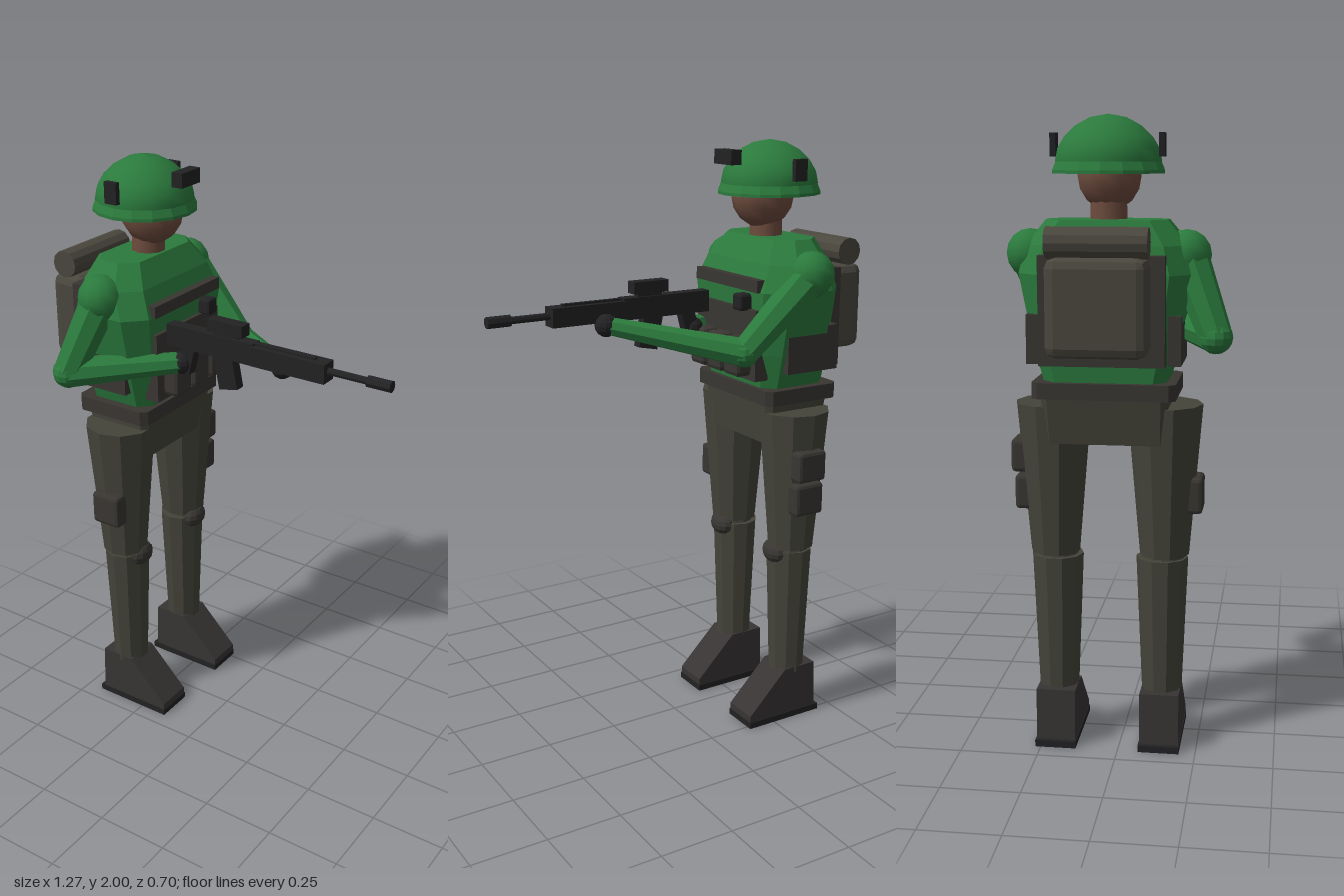
import * as THREE from 'three';
import { RoundedBoxGeometry } from 'three/addons/geometries/RoundedBoxGeometry.js';

const V = (x, y, z) => new THREE.Vector3(x, y, z);
const mat = (color, flatShading = true) => new THREE.MeshStandardMaterial({ color, flatShading });
const M = {
  green: mat(0x2b7a3d), greenSmooth: mat(0x2b7a3d, false), skin: mat(0x6e4c3e, false),
  trousers: mat(0x44443a), pack: mat(0x4a473e), vest: mat(0x393632),
  boot: mat(0x383434), dark: mat(0x222224),
};

function add(parent, name, geometry, material, x = 0, y = 0, z = 0) {
  const mesh = new THREE.Mesh(geometry, material);
  mesh.name = name;
  mesh.position.set(x, y, z);
  parent.add(mesh);
  return mesh;
}

// Box given by its limits on each axis; r > 0 rounds the edges
function box(parent, name, material, [x0, x1], [y0, y1], [z0, z1], r = 0) {
  const s = [x1 - x0, y1 - y0, z1 - z0];
  const g = r ? new RoundedBoxGeometry(...s, 1, r) : new THREE.BoxGeometry(...s);
  return add(parent, name, g, material, (x0 + x1) / 2, (y0 + y1) / 2, (z0 + z1) / 2);
}

// Tapered limb between two points
function limb(parent, name, material, a, b, ra, rb, sides = 8) {
  const d = b.clone().sub(a);
  const mesh = add(parent, name, new THREE.CylinderGeometry(rb, ra, d.length(), sides), material);
  mesh.position.copy(a).add(b).multiplyScalar(0.5);
  mesh.quaternion.setFromUnitVectors(V(0, 1, 0), d.normalize());
  return mesh;
}

const ball = (parent, name, material, p, r) =>
  add(parent, name, new THREE.SphereGeometry(r, 12, 8), material, p.x, p.y, p.z);

// Stack of chamfered rectangles: rows of [y, back x, front x, half width, chamfer]
function loft(rows) {
  const rings = rows.map(([y, a, b, w, c]) => [
    [a, w - c], [a + c, w], [b - c, w], [b, w - c], [b, c - w], [b - c, -w], [a + c, -w], [a, c - w],
  ].map(([x, z]) => V(x, y, z)));
  const pts = [];
  for (let i = 0; i < rings.length - 1; i++) {
    for (let j = 0; j < 8; j++) {
      const k = (j + 1) % 8, lo = rings[i], hi = rings[i + 1];
      pts.push(lo[j], lo[k], hi[k], lo[j], hi[k], hi[j]);
    }
  }
  const bottom = rings[0], top = rings[rings.length - 1];
  for (let j = 1; j < 7; j++) {
    pts.push(bottom[0], bottom[j + 1], bottom[j], top[0], top[j], top[j + 1]);
  }
  const g = new THREE.BufferGeometry().setFromPoints(pts);
  g.computeVertexNormals();
  return g;
}

function addHead(g) {
  const head = ball(g, 'head', M.skin, V(-0.32, 1.82, 0), 0.107);
  head.scale.z = 0.92;
  add(g, 'neck', new THREE.CylinderGeometry(0.055, 0.058, 0.14, 10), M.skin, -0.335, 1.71, 0);
  const dome = [[0.155, 1.85], [0.163, 1.862], [0.155, 1.9], [0.135, 1.933], [0.1, 1.966], [0.055, 1.99], [0, 2]];
  add(g, 'helmet', new THREE.LatheGeometry(dome.map(p => new THREE.Vector2(...p)), 16), M.greenSmooth, -0.345);
  const brim = [[0, 1.835], [0.155, 1.825], [0.172, 1.825], [0.172, 1.835], [0.16, 1.864]];
  add(g, 'helmetBrim', new THREE.LatheGeometry(brim.map(p => new THREE.Vector2(...p)), 16), M.green, -0.345);
  for (const s of [-1, 1]) {
    const z = s * 0.165;
    box(g, 'helmetRail', M.dark, [-0.372, -0.325], [1.875, 1.945], [z - 0.009, z + 0.009]);
  }
  box(g, 'helmetMount', M.dark, [-0.2, -0.16], [1.925, 1.972], [-0.05, 0.05]);
}

function addTorso(g) {
  add(g, 'torso', loft([
    [1.205, -0.47, -0.22, 0.19, 0.04],
    [1.32, -0.478, -0.205, 0.222, 0.05],
    [1.53, -0.485, -0.19, 0.265, 0.065],
    [1.615, -0.465, -0.225, 0.245, 0.065],
    [1.69, -0.435, -0.27, 0.185, 0.05],
  ]), M.green);
  add(g, 'belt', loft([[1.155, -0.49, -0.205, 0.22, 0.02], [1.205, -0.49, -0.205, 0.22, 0.02]]), M.vest);
  add(g, 'pelvis', loft([[1.01, -0.45, -0.24, 0.19, 0.02], [1.16, -0.475, -0.22, 0.195, 0.02]]), M.trousers);
  // Vest panels and pouches
  box(g, 'chestStrip', M.vest, [-0.22, -0.178], [1.53, 1.57], [-0.182, 0.182]);
  box(g, 'frontPanel', M.vest, [-0.23, -0.18], [1.235, 1.47], [-0.175, 0.175]);
  box(g, 'backPanel', M.vest, [-0.51, -0.46], [1.26, 1.59], [-0.19, 0.19]);
  for (const s of [-1, 1]) {
    const z = s * 0.215;
    box(g, 'sidePanel', M.vest, [-0.47, -0.27], [1.26, 1.41], [z - 0.02, z + 0.02]);
  }
  for (const z of [-0.107, -0.005, 0.097]) {
    box(g, 'frontPouch', M.vest, [-0.19, -0.125], [1.25, 1.38], [z - 0.043, z + 0.043], 0.015);
  }
  box(g, 'radio', M.dark, [-0.2, -0.15], [1.465, 1.52], [-0.13, -0.08], 0.008);
  // Backpack with bedroll
  box(g, 'backpack', M.pack, [-0.637, -0.505], [1.3, 1.59], [-0.15, 0.15], 0.03);
  const roll = add(g, 'bedroll', new THREE.CylinderGeometry(0.046, 0.046, 0.3, 12), M.pack, -0.575, 1.632, 0);
  roll.rotation.x = Math.PI / 2;
}

function addLeg(g, s) {
  const leg = new THREE.Group();
  leg.name = s > 0 ? 'rightLeg' : 'leftLeg';
  g.add(leg);
  const thigh = add(leg, 'thigh', new THREE.CylinderGeometry(0.122, 0.08, 0.485, 10), M.trousers, -0.342, 0.8825, s * 0.175);
  thigh.scale.z = 0.98;
  const shin = add(leg, 'shin', new THREE.CylinderGeometry(0.083, 0.064, 0.46, 10), M.trousers, -0.34, 0.4, s * 0.168);
  shin.scale.x = 0.95;
  ball(leg, 'knee', M.trousers, V(-0.335, 0.63, s * 0.172), 0.07);
  const pad = ball(leg, 'kneePad', M.vest, V(-0.285, 0.62, s * 0.165), 0.05);
  pad.scale.set(0.75, 0.85, 1.1);
  // Boot wedge extruded across its width
  const shape = new THREE.Shape([[-0.425, 0.02], [-0.15, 0.02], [-0.15, 0.045], [-0.295, 0.19], [-0.42, 0.19]]
    .map(p => new THREE.Vector2(...p)));
  const geo = new THREE.ExtrudeGeometry(shape, { depth: 0.126, bevelEnabled: false });
  add(leg, 'boot', geo, M.boot, 0, 0, s * 0.167 - 0.063);
  box(leg, 'sole', M.dark, [-0.44, -0.148], [0, 0.022], [s * 0.167 - 0.066, s * 0.167 + 0.066]);
}

function addArm(g, name, shoulder, elbow, hand, rElbow, rWrist) {
  const arm = new THREE.Group();
  arm.name = name;
  g.add(arm);
  ball(arm, 'shoulder', M.greenSmooth, shoulder, 0.076);
  limb(arm, 'upperArm', M.green, shoulder, elbow, 0.066, rElbow);
  ball(arm, 'elbow', M.green, elbow, rElbow);
  limb(arm, 'forearm', M.green, elbow, hand, rElbow, rWrist);
  ball(arm, 'glove', M.dark, hand, 0.038);
}

function addRifle(g) {
  const rifle = new THREE.Group();
  rifle.name = 'rifle';
  rifle.position.set(0, 0, 0.112);
  g.add(rifle);
  const part = (name, x, y, w, r) => box(rifle, name, M.dark, x, y, [-w, w], r);
  part('receiver', [-0.17, 0.16], [1.43, 1.502], 0.022);
  part('handguard', [0.155, 0.42], [1.432, 1.495], 0.028);
  part('topRail', [0.16, 0.375], [1.49, 1.502], 0.008);
  part('sight', [-0.01, 0.12], [1.512, 1.552], 0.022);
  part('sightBase', [0.01, 0.1], [1.495, 1.52], 0.014);
  part('grip', [-0.125, -0.075], [1.345, 1.44], 0.018).rotation.z = -0.25;
  part('magazine', [0.02, 0.09], [1.325, 1.445], 0.018).rotation.z = 0.2;
  limb(rifle, 'barrel', M.dark, V(0.41, 1.467, 0), V(0.57, 1.467, 0), 0.012, 0.012);
  limb(rifle, 'muzzle', M.dark, V(0.555, 1.467, 0), V(0.635, 1.467, 0), 0.019, 0.019);
}

export function createModel() {
  const model = new THREE.Group();
  model.name = 'soldier';
  const g = new THREE.Group();
  g.name = 'figure';
  g.position.z = -0.035;
  model.add(g);
  addHead(g);
  addTorso(g);
  for (const s of [-1, 1]) addLeg(g, s);
  // Thigh pouches: one on the right, two on the left
  box(g, 'thighPouch', M.vest, [-0.385, -0.275], [0.78, 0.895], [0.24, 0.297], 0.012);
  box(g, 'thighPouch', M.vest, [-0.385, -0.275], [0.78, 0.89], [-0.297, -0.24], 0.012);
  box(g, 'thighPouch', M.vest, [-0.385, -0.275], [0.9, 1.005], [-0.308, -0.25], 0.012);
  addArm(g, 'rightArm', V(-0.35, 1.585, 0.24), V(-0.423, 1.345, 0.335), V(-0.12, 1.375, 0.12), 0.052, 0.035);
  addArm(g, 'leftArm', V(-0.35, 1.585, -0.24), V(-0.11, 1.35, -0.215), V(0.235, 1.425, 0.075), 0.048, 0.03);
  addRifle(g);
  return model;
}
